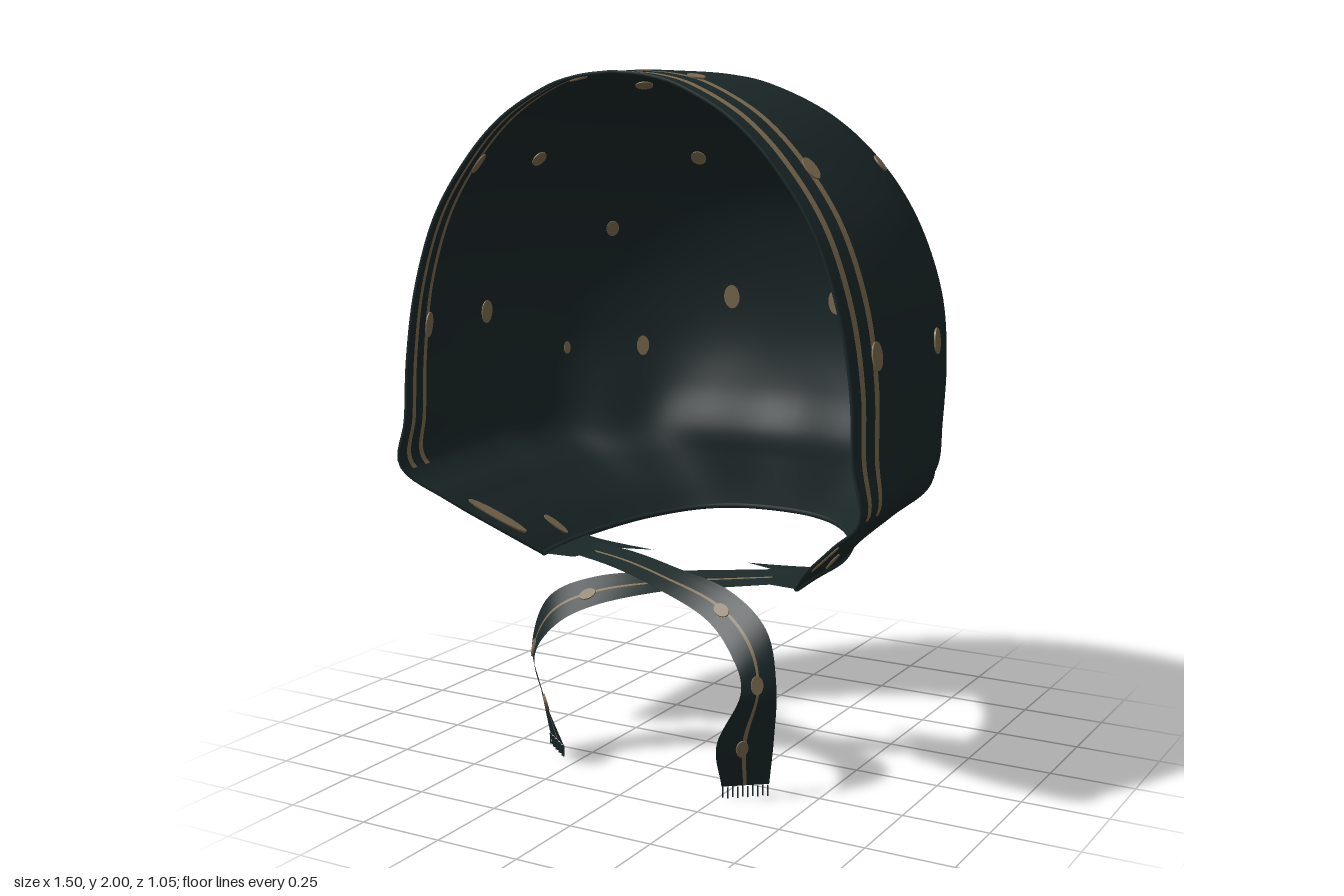
import * as THREE from 'three';
import { mergeVertices } from 'three/addons/utils/BufferGeometryUtils.js';

const V = (x, y, z) => new THREE.Vector3(x, y, z);
const { lerp, smoothstep } = THREE.MathUtils;

// Stations from neck to crown: height, half width, back z, rim half width, rim z, z of widest point
const stations = [
  [0.60, 0.42, -0.46, 0.42, 0.245, 0.02],
  [0.68, 0.50, -0.463, 0.50, 0.34, 0.04],
  [0.78, 0.62, -0.466, 0.62, 0.44, 0.06],
  [0.88, 0.735, -0.47, 0.73, 0.513, 0.08],
  [1.02, 0.75, -0.51, 0.708, 0.515, 0.1],
  [1.20, 0.75, -0.522, 0.698, 0.51, 0.1],
  [1.40, 0.73, -0.495, 0.662, 0.51, 0.1],
  [1.60, 0.66, -0.42, 0.59, 0.51, 0.1],
  [1.76, 0.555, -0.305, 0.48, 0.51, 0.1],
  [1.88, 0.43, -0.165, 0.355, 0.51, 0.12],
  [1.96, 0.28, -0.03, 0.21, 0.51, 0.16],
  [1.99, 0.155, 0.055, 0.105, 0.51, 0.2],
  [2.00, 0, 0.15, 0, 0.51, 0.26],
];
const spline = (pts) => new THREE.CatmullRomCurve3(pts, false, 'catmullrom', 0.5);
const bodyCurve = spline(stations.map((s) => V(s[1], s[0], s[2])));
const rimCurve = spline(stations.map((s) => V(s[3], s[4], s[5])));

// Point on the hood: t runs neck to crown, q runs rim (0) to widest line (1) to middle of the back (2)
function hoodPoint(t, q, side = 1) {
  const { x: W, y, z: B } = bodyCurve.getPoint(t);
  const { x: R, y: F, z: mid } = rimCurve.getPoint(t);
  if (q <= 1) {
    const z = q <= 0.12 ? F - q : lerp(F - 0.12, mid, (q - 0.12) / 0.88);
    const f = (F - z) / (F - mid);
    return V(side * lerp(R, W, Math.sin(f * Math.PI / 2)), y - 0.01 * (1 - f) ** 2, z);
  }
  const a = (q - 1) * Math.PI / 2;
  // gathered folds above the neck, squarer towards the neck edge
  const fold = 1 - 0.016 * Math.exp(-(((y - 0.92) / 0.2) ** 2)) * (1 - Math.cos(12 * a));
  const power = lerp(0.8, 0.92, smoothstep(y, 0.6, 0.85));
  const x = W * Math.pow(Math.max(0, Math.cos(a)), power) * fold;
  const lift = 0.035 * Math.sin(a) ** 2 * Math.max(0, 1 - (y - 0.6) / 0.3);
  return V(side * (q > 1.9999 ? 0 : x), y + lift, mid - (mid - B) * Math.sin(a) * fold);
}

// Smooth sheet from a grid of points; isTrim(row, column) picks the second material
function sheet(rows, cols, point, isTrim) {
  const pos = [], plain = [], trim = [];
  for (let i = 0; i <= rows; i++)
    for (let j = 0; j <= cols; j++) pos.push(...point(i, j).toArray());
  for (let i = 0; i < rows; i++)
    for (let j = 0; j < cols; j++) {
      const a = i * (cols + 1) + j, c = a + cols + 1;
      (isTrim(i, j) ? trim : plain).push(a, a + 1, c, a + 1, c + 1, c);
    }
  let g = new THREE.BufferGeometry();
  g.setAttribute('position', new THREE.Float32BufferAttribute(pos, 3));
  g.setIndex([...plain, ...trim]);
  g = mergeVertices(g, 1e-5);
  g.addGroup(0, plain.length, 0);
  g.addGroup(plain.length, trim.length, 1);
  g.computeVertexNormals();
  return g;
}

export function createModel() {
  const model = new THREE.Group();
  model.name = 'bonnet';
  const fabric = new THREE.MeshStandardMaterial({ color: 0x1b2728, side: THREE.DoubleSide });
  fabric.name = 'dark teal cloth';
  const tan = new THREE.MeshStandardMaterial({ color: 0x7d6c50, side: THREE.DoubleSide });
  tan.name = 'tan print';

  const add = (geometry, material, name, parent = model) => {
    const mesh = new THREE.Mesh(geometry, material);
    mesh.name = name;
    parent.add(mesh);
    return mesh;
  };
  // Thin oval plate lying across normal n, with its long radius along up
  const addDot = (p, n, up, rx, ry, name, parent) => {
    const dot = add(new THREE.CylinderGeometry(1, 1, 0.008, 16), tan, name, parent);
    const v = up.clone().addScaledVector(n, -up.dot(n)).normalize();
    dot.quaternion.setFromRotationMatrix(new THREE.Matrix4().makeBasis(n.clone().cross(v), n, v));
    dot.scale.set(rx, 1, ry);
    dot.position.copy(p);
  };

  // Hood with two printed stripes beside the rim, ending at the cheeks
  const half = [0, 0.04, 0.06, 0.10, 0.12];
  for (let i = 1; i <= 6; i++) half.push(0.12 + 0.88 * i / 6);
  for (let i = 1; i <= 32; i++) half.push(1 + i / 32);
  const columns = half.map((q) => [q, 1]);
  for (let i = half.length - 2; i >= 0; i--) columns.push([half[i], -1]);
  const rows = 96, cols = columns.length - 1;
  const striped = (i, j) => i >= 23 && [1, 3].includes(Math.min(j, cols - 1 - j));
  add(sheet(rows, cols, (i, j) => hoodPoint(i / rows, ...columns[j]), striped), [fabric, tan], 'hood');

  // Rolled hems around the face opening and the neck
  const rim = [], neck = [];
  for (let i = 0; i <= 50; i++) rim.push(hoodPoint(i / 50, 0, 1));
  for (let i = 49; i >= 0; i--) rim.push(hoodPoint(i / 50, 0, -1));
  for (let i = 0; i <= 20; i++) neck.push(hoodPoint(0, i / 10, 1));
  for (let i = 19; i >= 0; i--) neck.push(hoodPoint(0, i / 10, -1));
  add(new THREE.TubeGeometry(spline(rim), 160, 0.005, 6), fabric, 'faceHem');
  add(new THREE.TubeGeometry(spline(neck), 80, 0.008, 6), fabric, 'neckHem');

  // Pointed flaps turned in under the chin, where the ties are sewn on
  for (const side of [1, -1]) {
    const flapPoint = (i, j) => {
      const s = j / 20, reach = Math.pow(1 - Math.abs(s - 0.3) / 0.7, 1.8) * (i / 5);
      const p = hoodPoint(0, s * 1.15, side);
      return p.add(V(-side * 0.26 * reach, -0.012 * reach, -0.06 * reach));
    };
    add(sheet(5, 20, flapPoint, () => false), [fabric, tan], side > 0 ? 'leftFlap' : 'rightFlap');
  }

  // Printed spots: position, half width, half height; set on the nearest point of the hood
  const dots = [
    [0.19, 1.76, -0.31, 0.024, 0.026], [0.18, 1.31, -0.49, 0.026, 0.038], [0.5, 1.53, -0.3, 0.02, 0.026],
    [0.44, 1.13, -0.39, 0.02, 0.032], [0.62, 1.13, -0.22, 0.011, 0.02], [0.19, 1.97, 0.03, 0.026, 0.026],
    [0.56, 1.74, 0.03, 0.025, 0.026], [0.74, 1.27, 0.07, 0.024, 0.036], [0.18, 1.97, 0.383, 0.028, 0.024],
    [0.51, 1.73, 0.383, 0.022, 0.034], [0.7, 1.28, 0.39, 0.022, 0.038],
    [0.45, 0.67, 0.11, 0.014, 0.045], [0.53, 0.72, 0.32, 0.018, 0.1],
  ];
  for (const [x, y, z, rx, ry] of dots) {
    const target = V(x, y, z);
    let best = [0.5, 1], bestDist = Infinity;
    for (let t = 0.02; t < 0.99; t += 0.01)
      for (let q = 0.02; q < 1.98; q += 0.02) {
        const dist = hoodPoint(t, q).distanceTo(target);
        if (dist < bestDist) { bestDist = dist; best = [t, q]; }
      }
    const [t, q] = best, e = 0.01;
    const along = hoodPoint(t, q + e).sub(hoodPoint(t, q - e));
    const up = hoodPoint(t + e, q).sub(hoodPoint(t - e, q));
    const n = along.cross(up).normalize(), p = hoodPoint(t, q);
    for (const s of [1, -1]) {
      const m = V(s, 1, 1);
      addDot(p.clone().multiply(m), n.clone().multiply(m), up.clone().multiply(m), rx, ry, 'printedSpot');
    }
  }

  // Ties: ribbons that start at one flap, cross under the chin and hang on the other side
  const tieCentre = [
    V(-0.34, 0.59, 0.13), V(-0.17, 0.583, 0.19), V(0, 0.567, 0.25), V(0.2, 0.525, 0.3),
    V(0.325, 0.45, 0.345), V(0.372, 0.33, 0.375), V(0.335, 0.18, 0.38), V(0.315, 0.035, 0.342),
  ];
  const tieHalfWidth = [
    V(0.01, 0.01, -0.045), V(0.012, 0.014, -0.045), V(0.015, 0.018, -0.045), V(0.02, 0.032, -0.038),
    V(0.035, 0.03, -0.038), V(0.033, 0.005, -0.042), V(0.055, 0, -0.065), V(0.053, 0, -0.042),
  ];
  const across = [-1, -0.6, -0.1, 0.05, 0.6, 0.8, 1];
  function makeTie(side, shift, raise) {
    const tie = new THREE.Group();
    tie.name = side > 0 ? 'leftTie' : 'rightTie';
    const centre = spline(tieCentre.map((p, i) =>
      V(p.x * side, p.y + (i > 5 ? raise : 0) + (i > 0 && i < 4 ? shift : 0), p.z)));
    const width = spline(tieHalfWidth.map((w) => V(w.x * side, w.y, w.z)));
    const at = (t, s) => centre.getPoint(t).addScaledVector(width.getPoint(t), s);
    add(sheet(60, 6, (i, j) => at(i / 60, across[j]), (i, j) => j === 2), [fabric, tan], 'ribbon', tie);
    for (const t of [0.45, 0.7, 0.88]) {
      const run = centre.getTangent(t);
      const n = run.clone().cross(width.getPoint(t)).normalize();
      addDot(at(t, -0.1), n, run, 0.018, 0.026, 'ribbonSpot', tie);
    }
    // frayed end
    for (let k = 0; k < 10; k++) {
      const thread = add(new THREE.BoxGeometry(0.003, 0.032, 0.003), fabric, 'fringeThread', tie);
      thread.position.copy(at(1, -0.95 + k * 1.9 / 9));
      thread.position.y -= 0.016 + 0.003 * (k % 2);
    }
    model.add(tie);
  }
  makeTie(1, 0.006, 0);
  makeTie(-1, -0.008, 0.025);

  return model;
}
